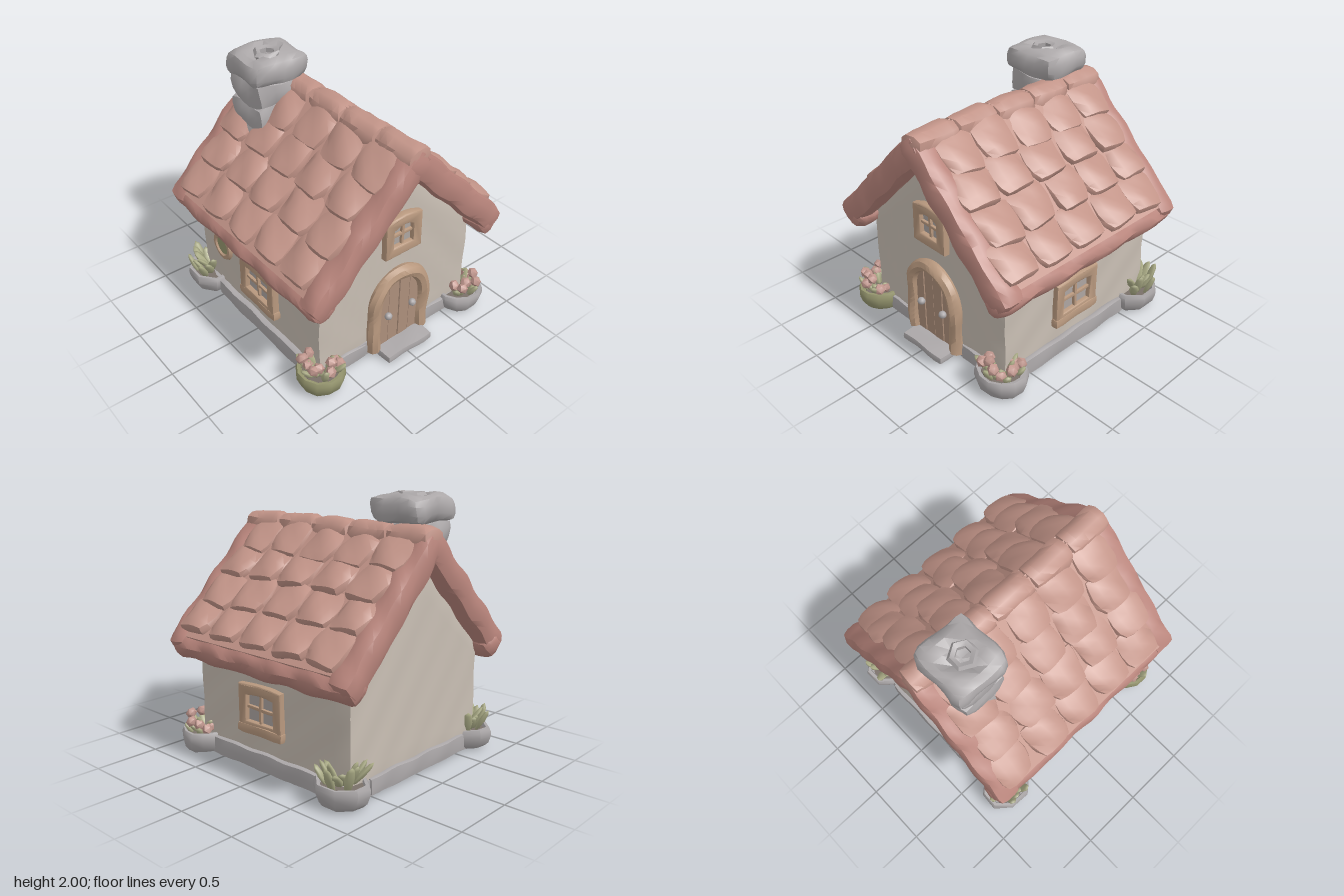
import * as THREE from 'three';
import { mergeVertices, toCreasedNormals } from 'three/addons/utils/BufferGeometryUtils.js';

const mat = (color) => new THREE.MeshStandardMaterial({ color });
const M = {
  wall: mat(0xc8beb3), stone: mat(0xaca8a9), roof: mat(0xc29488), rim: mat(0xb9857c), wood: mat(0xb9997f),
  plank: mat(0xad8f7b), pane: mat(0xada5a1), soil: mat(0x7a7069), leaf: mat(0xadae88), flower: mat(0xc2988f), olive: mat(0x96966f),
};

let seed = 7;
const rnd = () => (seed = (seed * 16807) % 2147483647) / 2147483647;
const vary = (a) => (rnd() - 0.5) * 2 * a;

// Hand-carved look: smooth wobble by position, then creased normals
function carve(geo, amp, rule) {
  geo.deleteAttribute('uv');
  geo.deleteAttribute('normal');
  geo = mergeVertices(geo, 1e-4);
  const p = geo.attributes.position, v = new THREE.Vector3(), k = rnd() * 50;
  for (let i = 0; i < p.count; i++) {
    v.fromBufferAttribute(p, i);
    if (rule) rule(v);
    const { x, y, z } = v;
    v.x += amp * Math.sin(y * 17 + z * 13 + k);
    v.y += amp * Math.sin(x * 15 + z * 19 + k * 2);
    v.z += amp * Math.sin(x * 18 + y * 14 + k * 3);
    p.setXYZ(i, v.x, v.y, v.z);
  }
  return toCreasedNormals(geo, 0.75);
}

// Box with rounded edges and an even grid of faces
function block(w, h, d, r, amp = 0.008, rule) {
  const n = (s) => Math.max(2, Math.round(s / 0.075));
  const c = new THREE.Vector3(), inner = new THREE.Vector3(w / 2 - r, h / 2 - r, d / 2 - r);
  return carve(new THREE.BoxGeometry(w, h, d, n(w), n(h), n(d)), amp, (v) => {
    c.copy(v).clamp(inner.clone().negate(), inner);
    v.sub(c).setLength(r).add(c);
    if (rule) rule(v);
  });
}

function add(parent, name, geo, material, x = 0, y = 0, z = 0) {
  const mesh = new THREE.Mesh(geo, material);
  mesh.name = name;
  mesh.position.set(x, y, z);
  parent.add(mesh);
  return mesh;
}

function group(parent, name, x = 0, y = 0, z = 0) {
  const g = new THREE.Group();
  g.name = name;
  g.position.set(x, y, z);
  parent.add(g);
  return g;
}

// Rectangle with an arched top, centred on x, standing on y
function archShape(w, y0, y1, rise, P = THREE.Shape) {
  const s = new P();
  s.moveTo(-w / 2, y0);
  s.lineTo(w / 2, y0);
  s.lineTo(w / 2, y1);
  s.quadraticCurveTo(0, y1 + rise * 2, -w / 2, y1);
  s.closePath();
  return s;
}

// Framed window facing +z, with its back on the wall
function windowFrame(parent, name, w, h, border, rise, x, y, z, turn = 0) {
  const g = group(parent, name, x, y, z);
  g.rotation.y = turn;
  const s = archShape(w - 0.02, 0.01, h - rise - 0.01, rise);
  const top = h - rise - border;
  s.holes.push(archShape(w - 2 * border, border, top, rise, THREE.Path));
  add(g, 'windowFrame', carve(new THREE.ExtrudeGeometry(s, {
    depth: 0.04, bevelSize: 0.012, bevelThickness: 0.015, bevelSegments: 2, curveSegments: 4 }), 0.003), M.wood);
  add(g, 'windowPane', new THREE.BoxGeometry(w - border, h - border - rise * 0.5, 0.02), M.pane, 0, h / 2, 0.006);
  const bar = h - 2 * border;
  add(g, 'uprightBar', block(0.028, bar + 0.02, 0.03, 0.01, 0.003), M.wood, 0, h / 2, 0.025);
  add(g, 'crossBar', block(w - 2 * border + 0.02, 0.028, 0.03, 0.01, 0.003), M.wood, 0, h / 2, 0.025);
  return g;
}

function buildRoof(house) {
  const roof = group(house, 'roof', 0, 1.8, 0);
  // Each slope: x runs down the roof, y points out of it
  for (const turn of [0, Math.PI]) {
    const side = group(roof, 'roofSide');
    side.rotation.y = turn;
    const slope = group(side, 'roofSlope');
    slope.rotation.z = -Math.PI / 4;
    add(slope, 'roofBoard', new THREE.BoxGeometry(1.2, 0.18, 1.66), M.roof, 0.63, -0.1, 0);
    for (const z of [0.82, -0.81]) add(slope, 'gableBeam', block(1.3, 0.205, 0.2, 0.06, 0.007), M.rim, 0.655, -0.1, turn ? -z : z);
    add(slope, 'eaveBeam', block(0.21, 0.21, 1.82, 0.075, 0.008), M.rim, 1.225, -0.13, 0);
    // Rows of tiles from the ridge down, each tipped over the next
    [0.42, 0.67, 0.94, 1.2].forEach((end, row) => {
      for (let i = 0; i < 5; i++) {
        const width = 0.33 + vary(0.02);
        const tile = add(slope, 'roofTile', block(0.32, 0.1, width, 0.045, 0.007, (v) => {
          if (v.x > 0) v.z *= 1 - 0.24 * (v.x / 0.16) ** 2;
          v.y -= 0.025 * (2 * v.z / width) ** 2;
        }), M.roof, end - 0.16 + vary(0.015), vary(0.006) - (row ? 0.006 : 0.016),
          -0.65 + i * 0.325 + (row % 2 ? 0.02 : -0.02) + vary(0.015));
        tile.rotation.set(vary(0.04), vary(0.06), (row ? 0.17 : 0.11) + vary(0.04));
      }
    });
  }
  // Ridge caps, rounded down to both sides
  for (let i = 0; i < 5; i++)
    add(roof, 'ridgeTile', block(0.23, 0.16, 0.38, 0.06, 0.005, (v) => { v.y -= 3.5 * v.x * v.x; }),
      M.roof, vary(0.008), -0.088 + vary(0.005), -0.71 + i * 0.357);
}

function buildChimney(house) {
  const g = group(house, 'chimney', -0.17, 0, -0.56);
  [[1.36, 0.42], [1.53, 0.39], [1.7, 0.37]].forEach(([y, w]) =>
    add(g, 'chimneyStone', block(w, 0.2, 0.38, 0.05, 0.012), M.stone, -0.02, y, 0));
  // Plump cap, hollowed in the middle
  add(g, 'chimneyCap', block(0.48, 0.2, 0.45, 0.075, 0.009, (v) => {
    if (v.y > 0 && Math.hypot(v.x, v.z) < 0.1) v.y -= 0.05;
  }), M.stone, 0.005, 1.882, 0);
  const lip = new THREE.TorusGeometry(0.08, 0.03, 5, 6).rotateX(Math.PI / 2);
  add(g, 'flueRim', carve(lip, 0.005), M.stone, 0, 1.965, 0.02);
}

function buildDoor(house) {
  const g = group(house, 'door', 0.005, 0, 0.74);
  const pts = [new THREE.Vector3(-0.235, 0.05, 0), new THREE.Vector3(-0.235, 0.25, 0)];
  for (let i = 0; i <= 8; i++) {
    const a = Math.PI * (1 - i / 8);
    pts.push(new THREE.Vector3(0.235 * Math.cos(a), 0.445 + 0.235 * Math.sin(a), 0));
  }
  pts.push(new THREE.Vector3(0.235, 0.25, 0), new THREE.Vector3(0.235, 0.05, 0));
  const path = new THREE.CatmullRomCurve3(pts);
  add(g, 'doorFrame', carve(new THREE.TubeGeometry(path, 36, 0.053, 8), 0.005), M.wood, 0, 0, 0.025);
  // Four planks cut by the arch
  for (let i = 0; i < 4; i++) {
    const x0 = -0.2 + i * 0.1 + 0.004, x1 = x0 + 0.092, s = new THREE.Shape();
    s.moveTo(x0, 0.05);
    s.lineTo(x1, 0.05);
    for (let k = 0; k <= 4; k++) {
      const x = x1 + (x0 - x1) * k / 4;
      s.lineTo(x, 0.445 + Math.sqrt(Math.max(0, 0.04 - x * x)));
    }
    add(g, 'doorPlank', new THREE.ExtrudeGeometry(s, { depth: 0.025, bevelSize: 0.003, bevelThickness: 0.006, bevelSegments: 1 }),
      M.plank, 0, 0, i % 2 ? 0 : 0.004);
  }
  for (const x of [-0.12, 0.12]) add(g, 'doorKnob', carve(new THREE.IcosahedronGeometry(0.03, 1), 0.003), M.stone, x, 0.34, 0.05);
}

// Bowl at a house corner, planted on the side away from the walls
function planter(house, name, x, z, rx, rz, potMat, flowers) {
  const g = group(house, name, x, 0.01, z);
  const profile = [[0, 0], [0.76, 0], [0.9, 0.03], [1.0, 0.09], [1.0, 0.13], [0.94, 0.157], [0.82, 0.155], [0.77, 0.12], [0, 0.12]];
  const sides = flowers ? 12 : 8;
  const pot = new THREE.LatheGeometry(profile.map(([r, y]) => new THREE.Vector2(r, y)), sides).rotateY(Math.PI / sides);
  add(g, 'pot', carve(pot.scale(rx * 1.05, 1, rz * 1.05), 0.005), potMat);
  add(g, 'soil', new THREE.CylinderGeometry(0.8, 0.8, 0.01, 8).scale(rx, 1, rz), M.soil, 0, 0.125, 0);
  const out = Math.atan2(z, x), count = 13;
  for (let i = 0; i < count; i++) {
    const a = out + (i / (count - 1) - 0.5) * 4.0, r = 0.07 + (i % 3) * 0.035;
    const len = (flowers ? 0.065 : 0.1) + vary(0.02);
    const leaf = add(g, 'leaf', new THREE.SphereGeometry(1, 5, 4).scale(0.022, len, flowers ? 0.034 : 0.04), M.leaf,
      r * Math.cos(a), 0.12 + len * 0.85, r * Math.sin(a));
    leaf.rotation.set(0, -a, -0.55 + vary(0.25));
    if (flowers && i % 3 < 2) {
      const q = r + 0.03;
      add(g, 'flower', carve(new THREE.IcosahedronGeometry(0.044, 0), 0.006), M.flower,
        q * Math.cos(a), 0.22 + vary(0.045), q * Math.sin(a));
    }
  }
}

export function createModel() {
  const house = new THREE.Group();
  house.name = 'cottage';

  // Plaster walls: a block whose top follows the gable
  add(house, 'walls', block(1.44, 1, 1.52, 0.03, 0.003, (v) => {
    v.y = 0.05 + (v.y + 0.5) * (1.52 - Math.abs(v.x));
  }), M.wall, 0.005, 0, -0.02);

  // Stone footing and step
  add(house, 'footing', block(1.5, 0.14, 1.55, 0.025, 0.004), M.stone, 0, 0.075, -0.02);
  for (const x of [-0.742, 0.742]) add(house, 'sideFootingStone', block(0.06, 0.14, 1.08, 0.025, 0.004), M.stone, x, 0.09, 0.03);
  add(house, 'backFootingStone', block(1.1, 0.13, 0.06, 0.025, 0.004), M.stone, 0, 0.09, -0.785);
  for (const x of [-0.42, 0.42]) add(house, 'frontFootingStone', block(0.26, 0.13, 0.06, 0.025, 0.004), M.stone, x, 0.08, 0.74);
  add(house, 'doorStep', block(0.44, 0.065, 0.26, 0.02, 0.004), M.stone, 0.01, 0.034, 0.79);

  buildRoof(house);
  buildChimney(house);
  buildDoor(house);

  windowFrame(house, 'gableWindow', 0.33, 0.33, 0.065, 0.035, 0.005, 0.87, 0.735);
  for (const side of [1, -1]) {
    const g = windowFrame(house, 'sideWindow', 0.43, 0.36, 0.065, 0.015, side * 0.715, 0.3, 0.05, side * Math.PI / 2);
    add(g, 'windowSill', block(0.46, 0.08, 0.08, 0.025, 0.004), M.wood, 0, 0.02, 0.025);
  }

  // Small round window
  const round = group(house, 'roundWindow', -0.725, 0.53, -0.45);
  round.rotation.y = -Math.PI / 2;
  add(round, 'roundFrame', carve(new THREE.TorusGeometry(0.095, 0.026, 6, 14), 0.003), M.wood);
  add(round, 'roundPane', new THREE.CylinderGeometry(0.09, 0.09, 0.02, 14).rotateX(Math.PI / 2), M.olive);

  planter(house, 'frontLeftPlanter', 0.69, 0.74, 0.19, 0.175, M.stone, true);
  planter(house, 'frontRightPlanter', -0.7, 0.74, 0.175, 0.175, M.olive, true);
  planter(house, 'backLeftPlanter', 0.72, -0.7, 0.17, 0.2, M.stone, false);
  planter(house, 'backRightPlanter', -0.72, -0.7, 0.17, 0.2, M.stone, false);
  return house;
}
